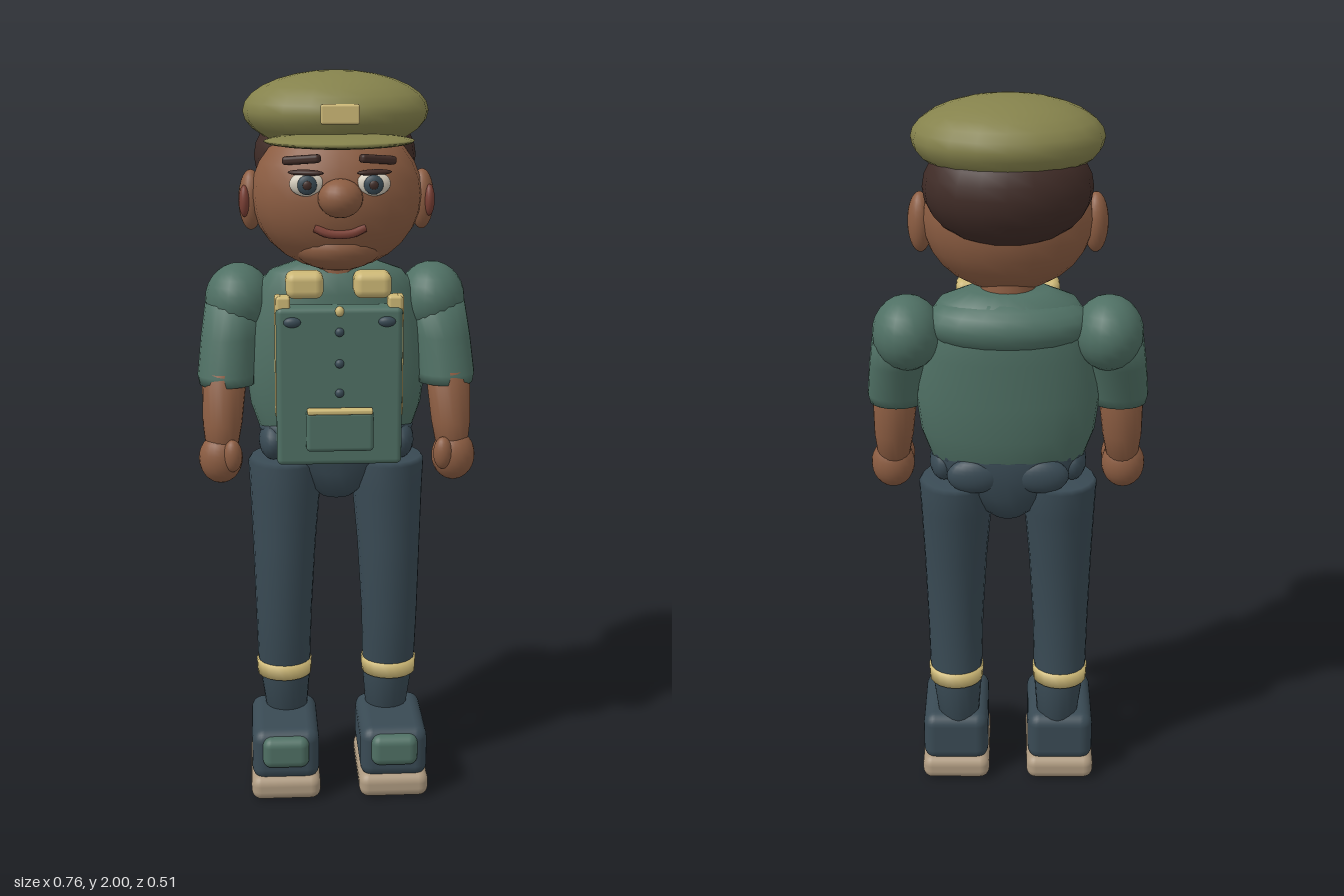
import * as THREE from 'three';
import { RoundedBoxGeometry } from 'three/addons/geometries/RoundedBoxGeometry.js';

const paint = (name, color) => {
  const m = new THREE.MeshStandardMaterial({ color });
  m.name = name;
  return m;
};

// Closed body through elliptical rings [x, y, z, radiusX, radiusZ], bottom to top
function loft(rings, sides = 20) {
  const pos = [], index = [];
  const first = rings[0], last = rings[rings.length - 1];
  const all = [[first[0], first[1], first[2], 0, 0], ...rings, [last[0], last[1], last[2], 0, 0]];
  for (const [x, y, z, rx, rz] of all) {
    for (let i = 0; i < sides; i++) {
      const a = (i / sides) * Math.PI * 2;
      pos.push(x + Math.sin(a) * rx, y, z + Math.cos(a) * rz);
    }
  }
  for (let r = 0; r < all.length - 1; r++) {
    for (let i = 0; i < sides; i++) {
      const a = r * sides + i, b = r * sides + (i + 1) % sides;
      if (r > 0) index.push(a, b, a + sides);
      if (r < all.length - 2) index.push(b, b + sides, a + sides);
    }
  }
  const g = new THREE.BufferGeometry();
  g.setAttribute('position', new THREE.Float32BufferAttribute(pos, 3));
  g.setIndex(index);
  g.computeVertexNormals();
  return g;
}

export function createModel() {
  const model = new THREE.Group();
  model.name = 'uniformedFigure';

  const olive = paint('olive cap', 0x85824c);
  const skin = paint('skin', 0x8c5d42);
  const hairBrown = paint('dark brown hair', 0x402c27);
  const shirt = paint('green shirt', 0x4f7064);
  const navy = paint('slate trousers', 0x394a54);
  const gold = paint('pale gold trim', 0xcdb876);
  const soleTan = paint('tan sole', 0xae9a80);
  const eyeWhite = paint('eye white', 0xd5cdbd);
  const red = paint('red brown', 0x7b4035);

  const add = (name, geo, mat, x = 0, y = 0, z = 0, parent = model) => {
    const m = new THREE.Mesh(geo, mat);
    m.name = name;
    m.position.set(x, y, z);
    parent.add(m);
    return m;
  };
  const ball = (name, mat, x, y, z, rx, ry, rz, parent = model) => {
    const m = add(name, new THREE.SphereGeometry(1, 20, 14), mat, x, y, z, parent);
    m.scale.set(rx, ry, rz);
    return m;
  };
  const block = (name, mat, x, y, z, w, h, d, r = 0.01, parent = model) =>
    add(name, new RoundedBoxGeometry(w, h, d, 3, r), mat, x, y, z, parent);

  // Head, hair and cap
  const head = new THREE.Group();
  head.name = 'head';
  model.add(head);
  ball('skull', skin, 0, 1.68, -0.005, 0.228, 0.2, 0.172, head);
  ball('chin', skin, 0, 1.55, 0.04, 0.12, 0.065, 0.1, head);
  ball('nose', skin, 0, 1.69, 0.165, 0.058, 0.05, 0.053, head);
  ball('hair', hairBrown, 0, 1.775, -0.09, 0.218, 0.152, 0.165, head);
  ball('capCrown', olive, 0, 1.895, -0.055, 0.247, 0.105, 0.203, head);
  ball('capVisor', olive, 0, 1.83, 0.11, 0.195, 0.018, 0.145, head);
  block('capBadge', gold, 0, 1.9, 0.152, 0.1, 0.05, 0.018, 0.006, head);
  const smile = new THREE.CatmullRomCurve3([
    new THREE.Vector3(-0.065, 1.612, 0.146), new THREE.Vector3(-0.03, 1.598, 0.155),
    new THREE.Vector3(0.03, 1.598, 0.155), new THREE.Vector3(0.065, 1.612, 0.146)]);
  add('mouth', new THREE.TubeGeometry(smile, 14, 0.011, 8), red, 0, 0, 0, head);
  add('neck', new THREE.CylinderGeometry(0.07, 0.08, 0.12, 18), skin, 0, 1.48, -0.03);

  // Shirt and hips
  add('torso', loft([
    [0, 0.98, -0.045, 0.185, 0.09], [0, 1.03, -0.045, 0.21, 0.105],
    [0, 1.1, -0.05, 0.235, 0.12], [0, 1.2, -0.05, 0.248, 0.125],
    [0, 1.32, -0.055, 0.238, 0.125], [0, 1.42, -0.06, 0.215, 0.12],
    [0, 1.47, -0.055, 0.18, 0.105], [0, 1.495, -0.05, 0.11, 0.075]], 24), shirt);
  ball('shoulderYoke', shirt, 0, 1.41, -0.075, 0.225, 0.085, 0.122);
  add('hips', loft([
    [0, 0.84, -0.035, 0.045, 0.045], [0, 0.87, -0.035, 0.085, 0.08],
    [0, 0.92, -0.04, 0.13, 0.1], [0, 0.98, -0.04, 0.195, 0.11],
    [0, 1.03, -0.04, 0.21, 0.112], [0, 1.05, -0.04, 0.2, 0.105]], 24), navy);
  const band = add('waistband', new THREE.TorusGeometry(0.19, 0.024, 8, 28), navy, 0, 1.035, -0.04);
  band.rotation.x = Math.PI / 2;
  band.scale.y = 0.52;

  // Front panel with buttons and pocket
  block('frontPanel', shirt, 0, 1.185, 0.1, 0.335, 0.43, 0.065, 0.015);
  for (const y of [1.17, 1.25, 1.335]) ball('button', navy, 0, y, 0.134, 0.012, 0.012, 0.01);
  ball('collarStud', gold, 0, 1.39, 0.13, 0.012, 0.014, 0.012);
  block('pocket', shirt, 0, 1.07, 0.14, 0.18, 0.11, 0.045, 0.012);
  block('pocketTrim', gold, 0, 1.125, 0.152, 0.175, 0.014, 0.03, 0.005);

  for (const s of [-1, 1]) {
    // Face details
    ball('ear', skin, s * 0.228, 1.665, -0.02, 0.033, 0.08, 0.042, head);
    ball('innerEar', red, s * 0.245, 1.665, 0.008, 0.015, 0.042, 0.022, head);
    ball('eye', eyeWhite, s * 0.085, 1.725, 0.147, 0.045, 0.032, 0.022, head);
    ball('iris', navy, s * 0.085, 1.724, 0.165, 0.025, 0.025, 0.01, head);
    ball('pupil', hairBrown, s * 0.085, 1.724, 0.172, 0.012, 0.012, 0.006, head);
    const lid = ball('eyelid', hairBrown, s * 0.088, 1.754, 0.152, 0.048, 0.008, 0.014, head);
    lid.rotation.y = s * 0.3;
    const brow = block('eyebrow', hairBrown, s * 0.098, 1.785, 0.132, 0.105, 0.022, 0.025, 0.009, head);
    brow.rotation.set(0, s * 0.45, s * -0.1);

    // Straps, shoulder pads and clips
    block('strap', gold, s * 0.162, 1.265, 0.1, 0.018, 0.33, 0.036, 0.007);
    block('strapEnd', gold, s * 0.148, 1.408, 0.1, 0.038, 0.04, 0.05, 0.008);
    block('shoulderPad', gold, s * 0.09, 1.452, 0.07, 0.1, 0.07, 0.08, 0.022);
    ball('clip', navy, s * 0.125, 1.362, 0.133, 0.023, 0.014, 0.012);

    // Arm
    const arm = new THREE.Group();
    arm.name = s > 0 ? 'leftArm' : 'rightArm';
    model.add(arm);
    ball('shoulder', shirt, s * 0.265, 1.385, -0.085, 0.092, 0.1, 0.105, arm);
    add('sleeve', loft([
      [s * 0.3, 1.165, -0.015, 0.075, 0.066], [s * 0.302, 1.19, -0.02, 0.078, 0.07],
      [s * 0.29, 1.29, -0.05, 0.08, 0.082], [s * 0.275, 1.38, -0.08, 0.082, 0.092]]), shirt, 0, 0, 0, arm);
    add('forearm', loft([
      [s * 0.317, 0.98, 0.02, 0.042, 0.042], [s * 0.314, 1.06, 0.01, 0.054, 0.054],
      [s * 0.306, 1.2, -0.012, 0.062, 0.06]]), skin, 0, 0, 0, arm);
    ball('hand', skin, s * 0.32, 0.965, 0.025, 0.06, 0.07, 0.053, arm);
    ball('thumb', skin, s * 0.287, 0.98, 0.062, 0.026, 0.045, 0.025, arm);

    // Trouser leg and cuff
    add('trouserLeg', loft([
      [s * 0.143, 0.17, -0.035, 0.056, 0.06], [s * 0.147, 0.3, -0.028, 0.07, 0.068],
      [s * 0.15, 0.36, -0.025, 0.075, 0.072], [s * 0.15, 0.5, -0.012, 0.079, 0.08],
      [s * 0.147, 0.7, -0.02, 0.088, 0.092], [s * 0.143, 0.86, -0.035, 0.098, 0.105],
      [s * 0.142, 0.94, -0.04, 0.103, 0.112], [s * 0.142, 0.952, -0.04, 0.095, 0.104]]), navy);
    add('cuff', loft([
      [s * 0.15, 0.308, -0.026, 0.077, 0.078], [s * 0.15, 0.35, -0.026, 0.079, 0.079]]), gold);

    // Shoe
    const shoe = new THREE.Group();
    shoe.name = s > 0 ? 'leftShoe' : 'rightShoe';
    model.add(shoe);
    block('sole', soleTan, s * 0.152, 0.036, 0.037, 0.195, 0.072, 0.3, 0.028, shoe);
    block('shoeUpper', navy, s * 0.152, 0.132, 0.038, 0.188, 0.15, 0.28, 0.035, shoe);
    block('toePatch', shirt, s * 0.152, 0.148, 0.165, 0.13, 0.09, 0.07, 0.025, shoe);

    // Hip and back pockets
    ball('hipPocket', navy, s * 0.175, 1.0, -0.03, 0.04, 0.055, 0.075);
    ball('backPocket', navy, s * 0.09, 0.99, -0.125, 0.075, 0.05, 0.032);
  }
  return model;
}
